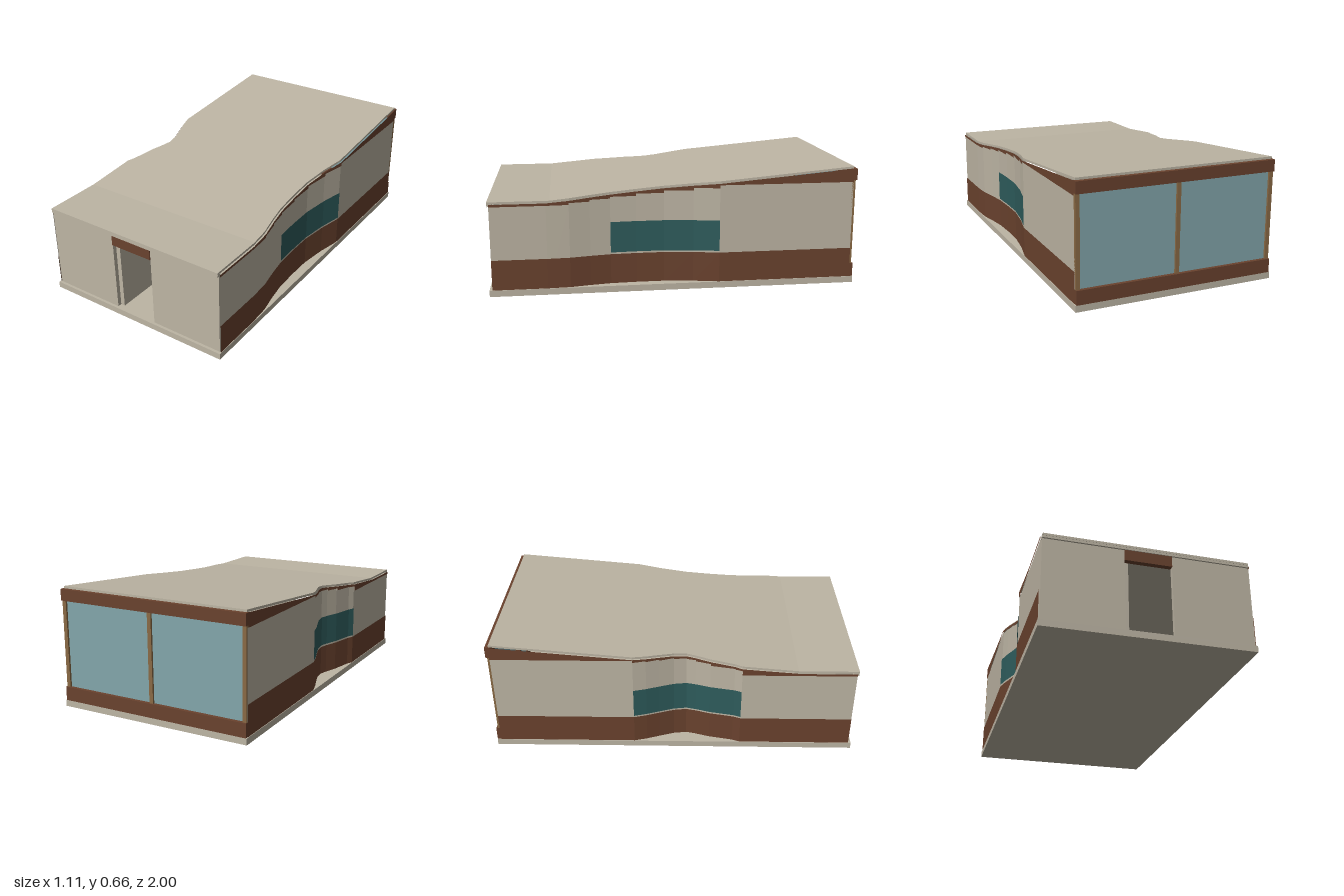
import * as THREE from 'three';

const mat = (name, color) => {
  const m = new THREE.MeshStandardMaterial({ color, side: THREE.DoubleSide });
  m.name = name;
  return m;
};

// Plan outline of each side wall as [z, distance from centre], front to back
const PLAN = {
  left: [[0.985, 0.549], [0.69, 0.549], [0.57, 0.543], [0.46, 0.522], [0.35, 0.506], [0.21, 0.5],
    [0.06, 0.5], [-0.1, 0.52], [-0.24, 0.549], [-0.98, 0.549]],
  right: [[0.985, 0.549], [0.69, 0.549], [0.37, 0.549], [0.33, 0.533], [0.2, 0.506], [0.12, 0.48],
    [0.07, 0.468], [0, 0.478], [-0.08, 0.505], [-0.15, 0.53], [-0.22, 0.549], [-0.98, 0.549]],
};
const GROUND = 0.035;
const ROOF_THICK = 0.012;

const roofTop = z => 0.515 + 0.145 * Math.max(0, (0.67 - z) / 1.65);
const underRoof = z => roofTop(z) - ROOF_THICK;

// Distance of a wall from the centre line at depth z
function edgeAt(plan, z) {
  for (let i = 1; i < plan.length; i++) {
    const [z0, x0] = plan[i - 1], [z1, x1] = plan[i];
    if (z >= z1) return x0 + (x1 - x0) * Math.min(1, Math.max(0, (z0 - z) / (z0 - z1)));
  }
  return plan[plan.length - 1][1];
}

function meshFrom(name, positions, index, material) {
  const g = new THREE.BufferGeometry();
  g.setAttribute('position', new THREE.Float32BufferAttribute(positions, 3));
  g.setIndex(index);
  const flat = g.toNonIndexed();
  flat.computeVertexNormals();
  const mesh = new THREE.Mesh(flat, material);
  mesh.name = name;
  return mesh;
}

// Upright strip following a wall; low and high give heights at the ends of each segment
function wallStrip(name, plan, sign, offset, low, high, material) {
  const pos = [], index = [];
  for (let i = 1; i < plan.length; i++) {
    const [z0, x0] = plan[i - 1], [z1, x1] = plan[i];
    const k = pos.length / 3;
    const a = sign * (x0 + offset), b = sign * (x1 + offset);
    pos.push(a, low(z0, z0), z0, b, low(z1, z0), z1, b, high(z1, z0), z1, a, high(z0, z0), z0);
    if (sign > 0) index.push(k, k + 1, k + 2, k, k + 2, k + 3);
    else index.push(k, k + 2, k + 1, k, k + 3, k + 2);
  }
  return meshFrom(name, pos, index, material);
}

export function createModel() {
  const root = new THREE.Group();
  root.name = 'pavilion';
  const plaster = mat('plaster beige', 0xbdb5a4);
  const brown = mat('panel brown', 0x6a422e);
  const teal = mat('dark teal glass', 0x2e5c5c);
  const glass = mat('pale blue glass', 0x83a6ab);
  const timber = mat('timber tan', 0x8a6a45);

  const box = (name, x0, x1, y0, y1, z0, z1, material) => {
    const m = new THREE.Mesh(new THREE.BoxGeometry(x1 - x0, y1 - y0, z1 - z0), material);
    m.position.set((x0 + x1) / 2, (y0 + y1) / 2, (z0 + z1) / 2);
    m.name = name;
    root.add(m);
  };

  box('baseSlab', -0.555, 0.555, 0, GROUND, -1, 1, plaster);

  // Side walls: brown skirt, plaster with a stepped top, brown fascia up to the roof
  const wallTop = (z, front) => {
    if (front > 0.6) return 0.49;
    if (front < -0.2) return 0.575;
    return Math.max(0.49, underRoof(front) - 0.012);
  };
  const windowSpan = { left: [0.35, -0.24], right: [0.37, -0.22] };
  for (const side of ['left', 'right']) {
    const plan = PLAN[side], sign = side === 'left' ? 1 : -1;
    const [zf, zb] = windowSpan[side];
    const pane = plan.filter(([z]) => z <= zf && z >= zb);
    root.add(
      wallStrip(side + 'Skirt', plan, sign, 0.003, () => GROUND, () => 0.2, brown),
      wallStrip(side + 'Wall', plan, sign, 0, () => GROUND, wallTop, plaster),
      wallStrip(side + 'Fascia', plan, sign, 0.004, wallTop, underRoof, brown),
      wallStrip(side + 'Window', pane, sign, 0.004, () => 0.21, () => 0.38, teal),
    );
  }

  // Roof slab lofted through cross-sections that follow both wall outlines
  const stations = [...new Set([0.995, 0.67, -0.98, ...PLAN.left.map(p => p[0]), ...PLAN.right.map(p => p[0])])]
    .sort((a, b) => b - a);
  const pos = [], index = [];
  stations.forEach((z, i) => {
    const l = edgeAt(PLAN.left, z) - 0.005, r = -edgeAt(PLAN.right, z) + 0.005;
    const t = roofTop(z), u = underRoof(z);
    pos.push(l, t, z, r, t, z, r, u, z, l, u, z);
    if (i === 0) return;
    const a = (i - 1) * 4, b = i * 4;
    for (let j = 0; j < 4; j++) {
      const n = (j + 1) % 4;
      index.push(a + j, b + j, b + n, a + j, b + n, a + n);
    }
  });
  const e = (stations.length - 1) * 4;
  index.push(0, 1, 2, 0, 2, 3, e, e + 2, e + 1, e, e + 3, e + 2);
  root.add(meshFrom('roof', pos, index, plaster));
  box('roofFrontEdge', -0.545, 0.545, 0.49, 0.504, 0.97, 0.994, plaster);

  // Front wall with doorway, lintel and a leaf standing open inward
  for (const s of [-1, 1]) {
    const x = [s * 0.125, s * 0.545].sort((a, b) => a - b);
    box(s > 0 ? 'frontWallLeft' : 'frontWallRight', x[0], x[1], GROUND, 0.49, 0.962, 0.985, plaster);
  }
  box('doorLintel', -0.125, 0.125, 0.43, 0.49, 0.962, 0.99, brown);
  box('openDoorLeaf', -0.125, -0.1, GROUND, 0.43, 0.72, 0.962, plaster);

  // Glazed back: sill, header, panes and posts
  box('backSill', -0.55, 0.55, GROUND, 0.11, -1, -0.97, brown);
  box('backHeader', -0.55, 0.55, 0.585, 0.647, -1, -0.97, brown);
  for (const s of [-1, 1]) {
    const x = [0, s * 0.545].sort((a, b) => a - b);
    box(s > 0 ? 'backPaneLeft' : 'backPaneRight', x[0], x[1], 0.11, 0.585, -0.98, -0.974, glass);
  }
  for (const x of [-0.538, 0, 0.538]) {
    box('backPost', x - 0.011, x + 0.011, 0.11, 0.585, -0.991, -0.972, timber);
  }
  box('innerPost', -0.012, 0.01, GROUND, 0.42, -0.968, -0.945, brown);

  return root;
}
